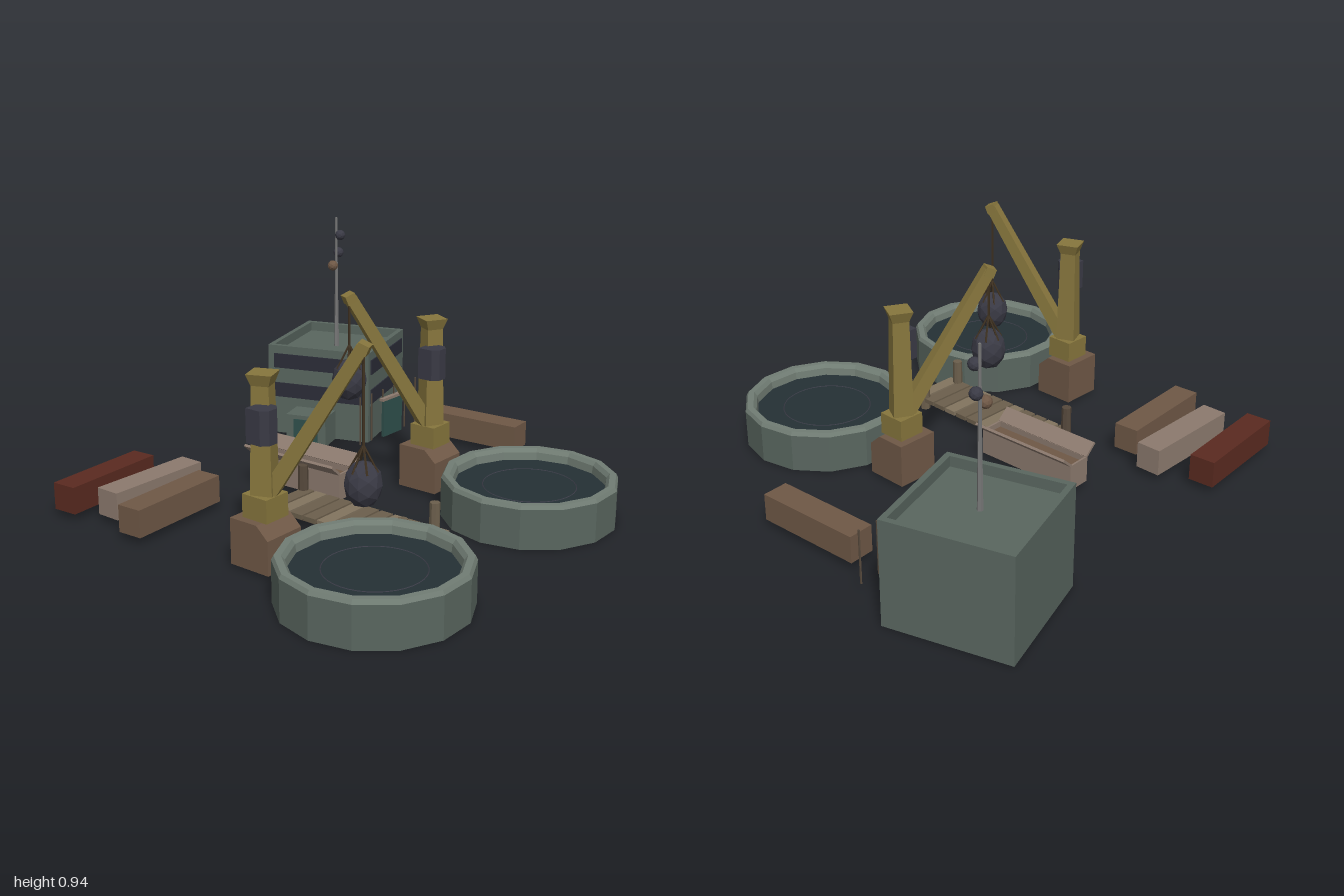
import * as THREE from 'three';

const mat = (color) => new THREE.MeshStandardMaterial({ color, flatShading: true, side: THREE.DoubleSide });
const M = {
  wall: mat(0x59665f), rim: mat(0x717d74), water: mat(0x243035), glass: mat(0x2b2d38),
  yellow: mat(0x87763d), brown: mat(0x6f5846), red: mat(0x5a2a20), pink: mat(0x8c7a6e),
  teal: mat(0x2f4f4b), dark: mat(0x3a3a45), rope: mat(0x3d3020), plank: mat(0x6c5f4c),
  plankLight: mat(0x82745f), steel: mat(0x777777), post: mat(0x56493c),
};

function add(parent, name, geo, material, x = 0, y = 0, z = 0, ry = 0) {
  const m = new THREE.Mesh(geo, material);
  m.name = name;
  m.position.set(x, y, z);
  m.rotation.y = ry;
  parent.add(m);
  return m;
}
const box = (w, h, d) => new THREE.BoxGeometry(w, h, d);
function group(parent, name, x = 0, y = 0, z = 0, ry = 0) {
  const g = new THREE.Group();
  g.name = name;
  g.position.set(x, y, z);
  g.rotation.y = ry;
  parent.add(g);
  return g;
}
// Straight rod between two points
function rod(parent, name, a, b, r, material) {
  const A = new THREE.Vector3(...a), B = new THREE.Vector3(...b);
  const d = B.clone().sub(A);
  const m = add(parent, name, new THREE.CylinderGeometry(r, r, d.length(), 5), material);
  m.position.copy(A).add(B).multiplyScalar(0.5);
  m.quaternion.setFromUnitVectors(new THREE.Vector3(0, 1, 0), d.normalize());
}
// Square post that tapers from width w0 at the bottom to w1 at the top
const taper = (w0, w1, h) =>
  new THREE.CylinderGeometry(w1 / Math.SQRT2, w0 / Math.SQRT2, h, 4).rotateY(Math.PI / 4);
// Closed prism: outline in xy, pushed along z and centred on it
function prism(points, depth) {
  const s = new THREE.Shape(points.map(([x, y]) => new THREE.Vector2(x, y)));
  return new THREE.ExtrudeGeometry(s, { depth, bevelEnabled: false }).translate(0, 0, -depth / 2);
}

function tank(parent, z) {
  const g = group(parent, 'tank', 0.62, 0, z);
  const lathe = (pts) => new THREE.LatheGeometry(pts.map(([r, y]) => new THREE.Vector2(r, y)), 14);
  add(g, 'tankWall', lathe([[0, 0], [0.33, 0], [0.33, 0.15]]), M.wall);
  add(g, 'tankRim', lathe([[0.33, 0.15], [0.322, 0.165], [0.298, 0.165], [0.286, 0.15], [0.282, 0.115]]), M.rim);
  add(g, 'water', new THREE.CircleGeometry(0.284, 28).rotateX(-Math.PI / 2), M.water, 0, 0.12, 0);
  add(g, 'waterRing', new THREE.TorusGeometry(0.174, 0.002, 4, 36).rotateX(Math.PI / 2), M.dark, 0, 0.12, 0);
}

function crane(parent, z, turn, ballY) {
  const g = group(parent, 'crane', 0.152, 0, z);
  // Plinth with one sloped shoulder
  add(g, 'plinth', prism([[-0.085, 0.01], [0.085, 0.01], [0.085, 0.135], [0.035, 0.18], [-0.085, 0.18]], 0.17), M.brown);
  add(g, 'mastFoot', box(0.11, 0.085, 0.11), M.yellow, 0, 0.222, 0);
  // Winch housing with chamfered upright edges
  const c = 0.022, h = 0.042;
  add(g, 'winch', prism([[-h, -h], [h - c, -h], [h, c - h], [h, h - c], [h - c, h], [-h, h]], 0.12)
    .rotateX(Math.PI / 2), M.dark, 0.042, 0.525, 0.045);
  const t = group(g, 'slewingPart', 0, 0, 0, turn);
  add(t, 'mast', taper(0.078, 0.062, 0.41), M.yellow, 0, 0.455, 0);
  add(t, 'mastCap', taper(0.06, 0.09, 0.045), M.yellow, 0, 0.665, 0);
  // Boom leaning out from the mast foot
  const reach = 0.345, y0 = 0.27, y1 = 0.8;
  const boom = add(t, 'boom', taper(0.055, 0.042, Math.hypot(reach - 0.02, y1 - y0)), M.yellow, (reach + 0.02) / 2, (y0 + y1) / 2, 0);
  boom.rotation.z = -Math.atan2(reach - 0.02, y1 - y0);
  const tip = add(t, 'boomTip', box(0.04, 0.035, 0.046), M.yellow, reach, 0.795, 0);
  tip.rotation.z = -0.4;
  // Hanging load
  const knot = ballY + 0.135;
  rod(t, 'rope', [reach, 0.79, 0], [reach, knot, 0], 0.005, M.rope);
  for (let i = 0; i < 6; i++) {
    const a = i * Math.PI / 3, x = Math.cos(a) * 0.05, w = Math.sin(a) * 0.05;
    rod(t, 'sling', [reach, knot, 0], [reach + x, ballY + 0.045, w], 0.004, M.rope);
  }
  add(t, 'load', new THREE.IcosahedronGeometry(0.066, 1).scale(1, 1.25, 1), M.dark, reach, ballY, 0);
}

function building(parent) {
  const g = group(parent, 'building', -0.652, 0, -0.704, 0.315);
  const s = 0.468, e = s / 2;
  add(g, 'block', box(s, 0.36, s), M.wall, 0, 0.18, 0);
  for (const k of [-1, 1]) {
    add(g, 'parapet', box(s, 0.04, 0.022), M.wall, 0, 0.38, k * (e - 0.011));
    add(g, 'parapet', box(0.022, 0.04, s - 0.044), M.wall, k * (e - 0.011), 0.38, 0);
  }
  // Window bands on the front and right-hand sides
  for (const y of [0.2, 0.332]) {
    add(g, 'frontWindow', box(0.41, 0.064, 0.01), M.glass, 0, y, e);
    add(g, 'sideWindow', box(0.01, 0.064, 0.41), M.glass, e, y, 0);
  }
  add(g, 'porch', box(0.182, 0.13, 0.12), M.wall, -0.01, 0.065, e + 0.06);
  add(g, 'door', box(0.11, 0.105, 0.006), M.teal, -0.01, 0.06, e + 0.121);

  // Antenna with signal globes
  const a = group(parent, 'antenna', -0.648, 0, -0.695);
  add(a, 'mastLower', new THREE.CylinderGeometry(0.007, 0.011, 0.29, 6), M.steel, 0, 0.5, 0);
  add(a, 'mastUpper', new THREE.CylinderGeometry(0.005, 0.007, 0.3, 6), M.steel, 0, 0.79, 0);
  for (const [x, y, z, m] of [[0.022, 0.865, 0, M.dark], [-0.005, 0.782, -0.022, M.dark], [0.005, 0.732, 0.03, M.brown]])
    add(a, 'globe', new THREE.IcosahedronGeometry(0.023, 1), m, x, y, z);
}

function fence(parent) {
  const g = group(parent, 'fence', -0.314, 0, -0.68);
  for (let i = -3; i <= 3; i++)
    add(g, 'fencePost', new THREE.CylinderGeometry(0.004, 0.004, 0.21, 5), M.post, 0, 0.135, i * 0.079);
  add(g, 'panel', box(0.012, 0.165, 0.13), M.teal, 0.009, 0.112, 0.025);
  add(g, 'panelTop', box(0.02, 0.012, 0.15), M.pink, 0.009, 0.198, 0.025);
}

function pier(parent) {
  const g = group(parent, 'pier');
  for (let i = 0; i < 11; i++)
    add(g, 'plank', box(0.053, 0.018, 0.22), i % 3 === 1 ? M.plankLight : M.plank, -0.113 + i * 0.0628, 0.042, 0.24);
  for (const z of [0.165, 0.315]) add(g, 'stringer', box(0.64, 0.016, 0.02), M.post, 0.2, 0.026, z);
  for (const x of [-0.128, 0.487]) for (const z of [0.145, 0.338])
    add(g, 'pierPost', new THREE.CylinderGeometry(0.019, 0.021, 0.15, 8), x < 0 ? M.post : M.plank, x, 0.075, z);
}

// Long container with two lids folded open
function openContainer(parent) {
  const g = group(parent, 'openContainer', -0.205, 0, 0.06, 0.036);
  const len = 0.435;
  add(g, 'floor', box(len, 0.012, 0.1), M.pink, 0, 0.031, 0);
  for (const k of [-1, 1]) {
    add(g, 'sideWall', box(len, 0.105, 0.008), M.pink, 0, 0.0775, k * 0.046);
    add(g, 'endWall', box(0.008, 0.105, 0.09), M.pink, k * (len / 2 - 0.004), 0.0775, 0);
    const lid = add(g, 'lid', box(len, 0.01, 0.064), M.pink, 0, 0.15, k * 0.069);
    lid.rotation.x = -k * 0.72;
  }
  add(g, 'cargo', box(len - 0.01, 0.07, 0.086), M.brown, 0, 0.072, 0);
}

export function createModel() {
  const root = new THREE.Group();
  root.name = 'harbourYard';
  for (const z of [-0.277, 0.668]) tank(root, z);
  crane(root, -0.295, -2.06, 0.482);
  crane(root, 0.667, 0.386, 0.333);
  building(root);
  fence(root);
  pier(root);
  openContainer(root);
  // Closed containers: x, z, turn, material
  for (const [x, z, ry, m] of [
    [-0.727, 0.613, 0.078, M.red], [-0.543, 0.548, 0, M.pink],
    [-0.37, 0.613, 0.063, M.brown], [0.02, -0.825, Math.PI / 2 + 0.07, M.brown],
  ]) add(root, 'container', box(0.102, 0.105, 0.432), m, x, 0.08, z, ry);
  return root;
}
